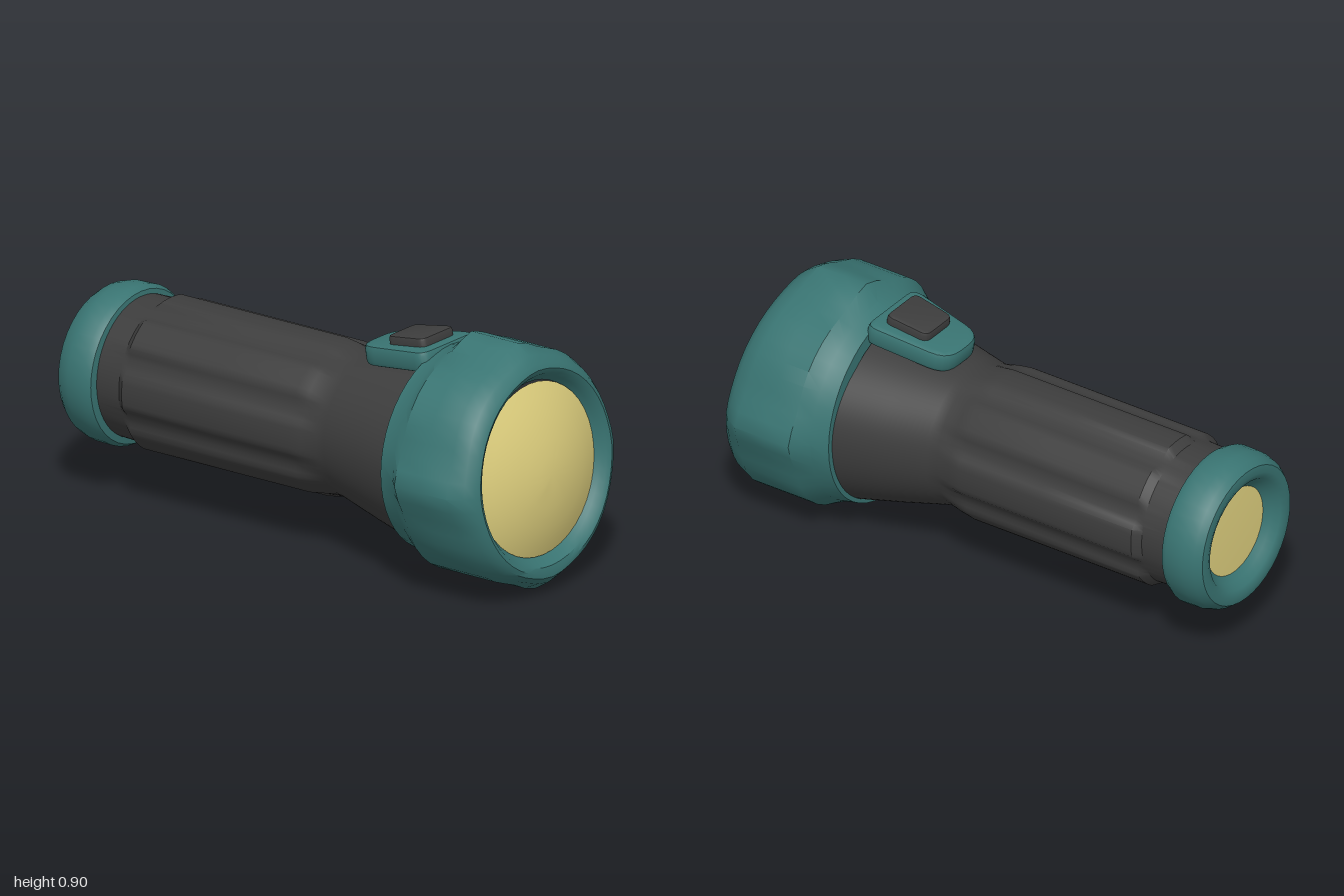
import * as THREE from 'three';
import { toCreasedNormals } from 'three/addons/utils/BufferGeometryUtils.js';

const AXIS_Y = 0.453;
const clamp = THREE.MathUtils.clamp;

// Skins rings running along +z; place(ring, angle) gives one point
function loft(rings, segments, place, crease = 0.6) {
  const pos = [], index = [];
  rings.forEach((ring) => {
    for (let i = 0; i < segments; i++) pos.push(...place(ring, (i / segments) * Math.PI * 2));
  });
  for (let v = 0; v < rings.length - 1; v++) {
    for (let i = 0; i < segments; i++) {
      const j = (i + 1) % segments;
      const a = v * segments + i, b = v * segments + j;
      const c = a + segments, d = b + segments;
      index.push(a, b, d, a, d, c);
    }
  }
  const g = new THREE.BufferGeometry();
  g.setAttribute('position', new THREE.Float32BufferAttribute(pos, 3));
  g.setIndex(index);
  return toCreasedNormals(g, crease);
}

// Lens and rim lean back towards the top
const lean = (z, y) => Math.min(z - 0.1 * clamp((z - 0.53) / 0.4, 0, 1) * (y - AXIS_Y), 1);

// Rounded trapezoid lying flat, extruded upwards with a soft bevel
function pad(backHalf, frontHalf, length, corner, height, bevel) {
  const pts = [[-frontHalf, -length / 2], [frontHalf, -length / 2], [backHalf, length / 2], [-backHalf, length / 2]]
    .map((p) => new THREE.Vector2(...p));
  const shape = new THREE.Shape();
  pts.forEach((p, i) => {
    const prev = pts[(i + 3) % 4], next = pts[(i + 1) % 4];
    const from = p.clone().add(prev.clone().sub(p).setLength(corner[i]));
    const to = p.clone().add(next.clone().sub(p).setLength(corner[i]));
    if (i === 0) shape.moveTo(from.x, from.y);
    else shape.lineTo(from.x, from.y);
    shape.quadraticCurveTo(p.x, p.y, to.x, to.y);
  });
  shape.closePath();
  const g = new THREE.ExtrudeGeometry(shape, {
    depth: height - bevel, bevelEnabled: true, bevelSize: bevel, bevelThickness: bevel,
    bevelOffset: -bevel, bevelSegments: 2, curveSegments: 5,
  });
  g.rotateX(-Math.PI / 2);
  return toCreasedNormals(g, 0.6);
}

export function createModel() {
  const material = (name, color) => {
    const m = new THREE.MeshStandardMaterial({ color });
    m.name = name;
    return m;
  };
  const teal = material('teal rubber', 0x397472);
  const dark = material('dark plastic', 0x3d3d3d);
  const yellow = material('yellow lens', 0xe0d17f);

  const group = new THREE.Group();
  group.name = 'flashlight';
  const add = (name, geometry, mat) => {
    const mesh = new THREE.Mesh(geometry, mat);
    mesh.name = name;
    group.add(mesh);
    return mesh;
  };

  // Head: [z, radius, strength of the bumps]
  const head = [
    [0.53, 0.33, 0], [0.53, 0.382, 0], [0.595, 0.396, 0.15], [0.65, 0.427, 1], [0.76, 0.427, 1],
    [0.88, 0.427, 1], [0.935, 0.408, 0.45], [0.962, 0.388, 0.2], [0.97, 0.37, 0.1],
    [0.96, 0.352, 0], [0.94, 0.338, 0], [0.915, 0.318, 0],
  ];
  add('head', loft(head, 48, ([z, r, bump], t) => {
    const c = Math.cos(4 * t);
    const radius = r + bump * (0.031 * Math.max(0, c) ** 4 + 0.009 * Math.max(0, -c));
    const y = AXIS_Y + 0.98 * radius * Math.sin(t);
    return [radius * Math.cos(t), y, lean(z, y)];
  }), teal);

  // Domed front lens
  const dome = [1, 0.85, 0.65, 0.4, 0.2, 0].map((s) => [0.925 + 0.073 * (1 - s * s), 0.328 * s]);
  add('frontLens', loft(dome, 40, ([z, r], t) => {
    const y = 0.45 + 0.95 * r * Math.sin(t);
    return [r * Math.cos(t), y, lean(z, y)];
  }), yellow);

  // Handle: [z, radius, rib depth, flattening of the upper half]
  const handle = [
    [-0.86, 0.258, 0, 1], [-0.73, 0.262, 0, 1], [-0.7, 0.266, 1, 1], [-0.3, 0.266, 1, 1],
    [0.04, 0.266, 1, 1], [0.09, 0.268, 0.5, 1], [0.15, 0.264, 0, 1], [0.19, 0.272, 0, 0.99],
    [0.36, 0.318, 0, 0.91], [0.56, 0.368, 0, 0.84],
  ];
  add('handle', loft(handle, 96, ([z, r, rib, flat], t) => {
    const ridge = THREE.MathUtils.smoothstep(Math.cos(8 * t), -0.9, -0.1);
    const radius = r + 0.019 * rib * ridge;
    const s = Math.sin(t);
    return [radius * Math.cos(t), AXIS_Y + radius * s * (s > 0 ? flat : 1), z];
  }), dark);

  // Tail cap with a rolled rim
  const round = ([z, r], t) => [r * Math.cos(t), 0.45 + 0.97 * r * Math.sin(t), z];
  const tail = [
    [-0.94, 0.165], [-0.965, 0.195], [-0.99, 0.215], [-1, 0.24], [-0.995, 0.268], [-0.97, 0.288],
    [-0.93, 0.3], [-0.86, 0.302], [-0.835, 0.288], [-0.83, 0.25],
  ];
  add('tailCap', loft(tail, 40, round), teal);
  add('tailLens', loft([[-0.952, 0], [-0.945, 0.185]], 40, round), yellow);

  // Switch on top of the neck
  const plate = add('switchPlate', pad(0.105, 0.152, 0.335, [0.05, 0.05, 0.08, 0.08], 0.06, 0.018), teal);
  plate.position.set(-0.005, 0.758, 0.387);
  plate.rotation.x = -0.16;
  const button = add('switchButton', pad(0.08, 0.092, 0.175, [0.03, 0.03, 0.03, 0.03], 0.06, 0.012), dark);
  button.position.set(-0.005, 0.796, 0.418);
  button.rotation.x = -0.16;

  return group;
}
